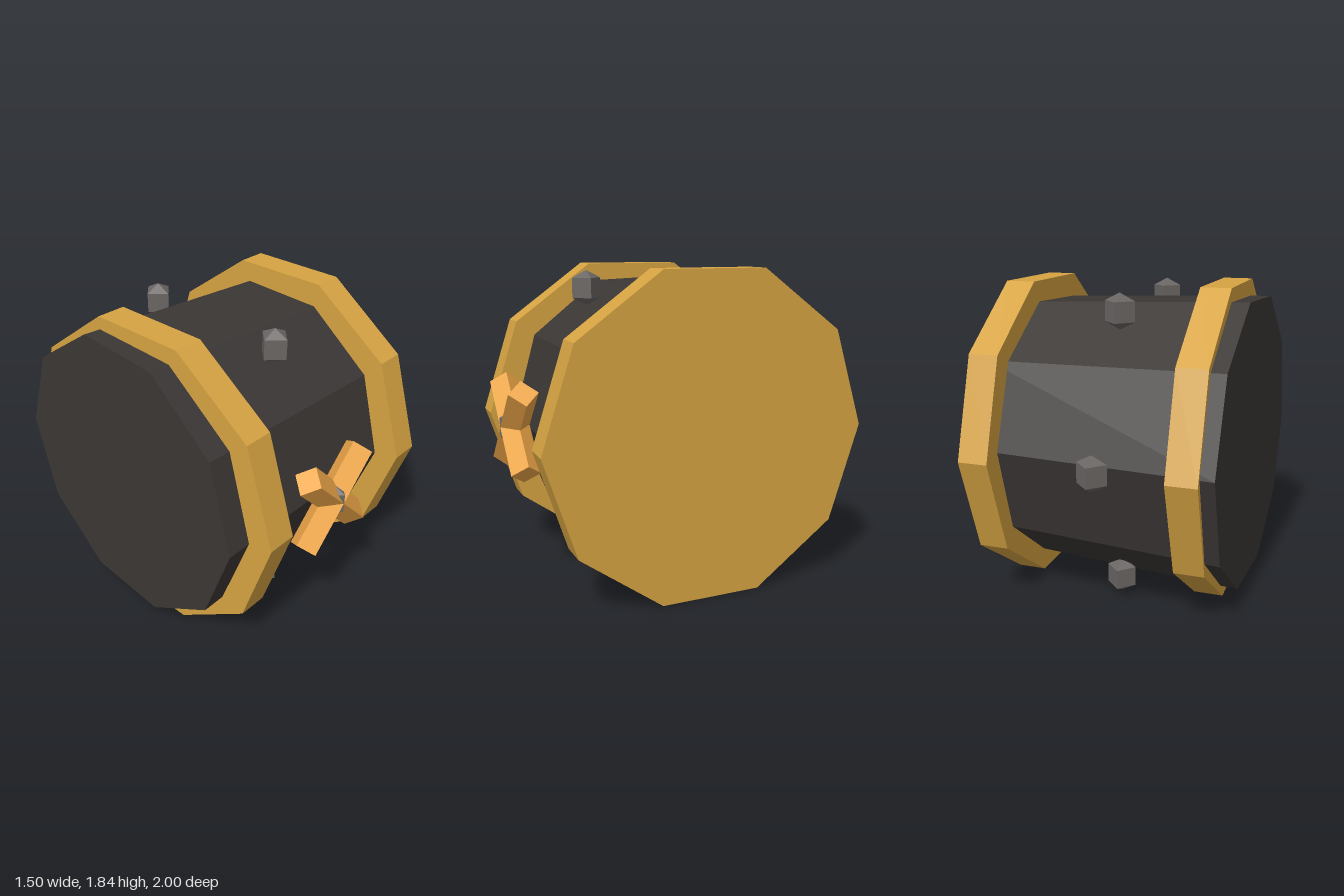
import * as THREE from 'three';

const CY = 0.925;   // height of the drum axis
const MID = -0.013; // x of the stud ring and the cross

const material = (color) => new THREE.MeshStandardMaterial({ color, flatShading: true });

export function createModel() {
  const model = new THREE.Group();
  const dark = material(0x3b3735);
  const gold = material(0xd6a342);
  const orange = material(0xf0a848);
  const iron = material(0x6a6664);

  const add = (name, geometry, mat, x, y, z, parent = model) => {
    const mesh = new THREE.Mesh(geometry, mat);
    mesh.name = name;
    mesh.position.set(x, y, z);
    parent.add(mesh);
    return mesh;
  };

  // Tapered ten-sided drum, slightly rolled and yawed
  const drum = new THREE.CylinderGeometry(0.824, 0.88, 1.4, 10, 1, false, 0.04);
  drum.rotateZ(-Math.PI / 2).rotateY(-0.04);
  add('drumBody', drum, dark, -0.015, CY, -0.036);

  // Ten-sided hoop near the left end and cap over the right end
  const hoop = new THREE.CylinderGeometry(0.967, 0.967, 0.175, 10).rotateZ(Math.PI / 2);
  add('hoop', hoop, gold, -0.512, CY, 0);
  add('endCap', hoop, gold, 0.663, CY, 0);

  // Six upright four-sided studs with pointed ends, spaced around the drum
  const studProfile = [[0, -0.102], [0.087, -0.058], [0.087, 0.058], [0, 0.102]]
    .map(([r, y]) => new THREE.Vector2(r, y));
  const studGeometry = new THREE.LatheGeometry(studProfile, 4);
  const studs = new THREE.Group();
  studs.name = 'studs';
  model.add(studs);
  for (let i = 0; i < 6; i++) {
    const a = (i * Math.PI) / 3;
    add('stud', studGeometry, iron, MID, CY + 0.914 * Math.sin(a), 0.914 * Math.cos(a), studs);
  }

  // Diagonal cross of two diamond-section bars on the front
  const cross = new THREE.Group();
  cross.name = 'cross';
  model.add(cross);
  const bar = new THREE.CylinderGeometry(0.087, 0.087, 0.66, 4);
  for (const side of [-1, 1]) {
    add('crossBar', bar, orange, MID, CY, 0.912, cross).rotation.z = (side * Math.PI) / 4;
  }

  return model;
}
